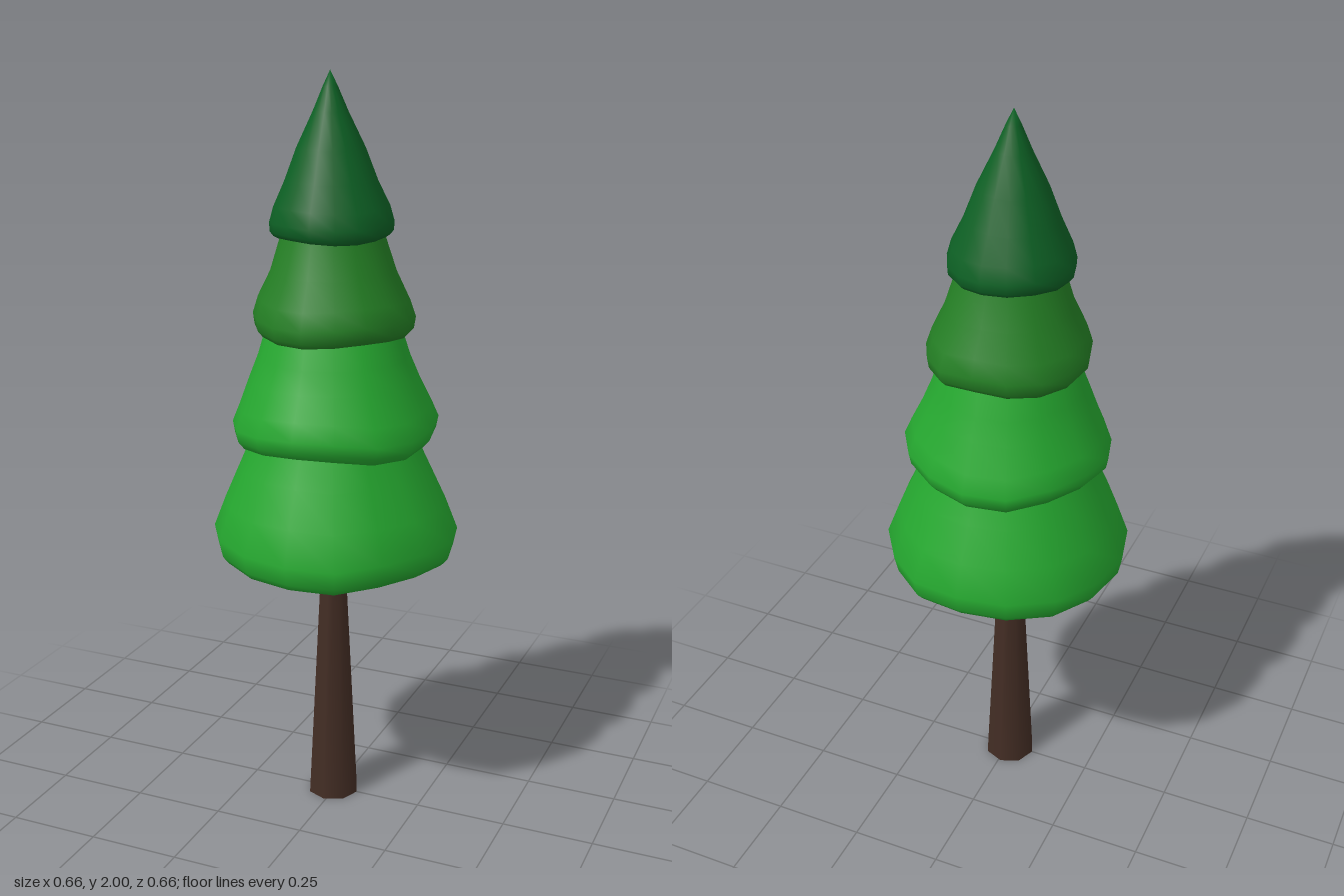
import * as THREE from 'three';
import { mergeVertices } from 'three/addons/utils/BufferGeometryUtils.js';

const SIDES = 16;
const CENTER_X = -0.015;

const material = (name, color) => {
  const m = new THREE.MeshStandardMaterial({ color });
  m.name = name;
  return m;
};

// Foliage tier: a lathe whose round section is reshaped to an uneven outline.
// profile: [fraction of outline, height] from bottom to top
// outline: radius every 22.5 degrees, from +x towards +z
function tier(name, mat, profile, outline, wave) {
  const lathe = new THREE.LatheGeometry(profile.map(([t, y]) => new THREE.Vector2(t, y)), SIDES);
  lathe.deleteAttribute('uv');
  lathe.deleteAttribute('normal');
  const p = lathe.attributes.position;
  const base = profile[0][1];
  for (let i = 0; i < p.count; i++) {
    const t = Math.hypot(p.getX(i), p.getZ(i));
    const angle = Math.atan2(p.getZ(i), p.getX(i));
    const k = (Math.round(angle / (2 * Math.PI) * SIDES) + SIDES) % SIDES;
    const a = k / SIDES * 2 * Math.PI;
    const r = outline[k];
    const y = p.getY(i);
    // The hem waves gently, the upper part stays level
    const lift = t > 0.8 && y < base + 0.1 ? wave * Math.sin(3 * a + base * 9) : 0;
    p.setXYZ(i,
      CENTER_X + (r * Math.cos(a) - CENTER_X) * t,
      y + lift,
      r * Math.sin(a) * t);
  }
  const geometry = mergeVertices(lathe, 1e-5);
  geometry.computeVertexNormals();
  const mesh = new THREE.Mesh(geometry, mat);
  mesh.name = name;
  return mesh;
}

export function createModel() {
  const group = new THREE.Group();
  group.name = 'pineTree';
  const bark = material('bark brown', 0x432d24);
  const light = material('light green', 0x25a72f);
  const medium = material('medium green', 0x247f24);
  const dark = material('dark green', 0x0d6024);

  // Tapered trunk
  const trunk = new THREE.Mesh(new THREE.CylinderGeometry(0.03, 0.072, 0.8, 8), bark);
  trunk.name = 'trunk';
  trunk.position.set(-0.007, 0.4, 0);
  group.add(trunk);

  // Four tiers of foliage, bottom to top
  group.add(
    tier('bottomFoliage', light,
      [[0, 0.735], [0.86, 0.73], [0.92, 0.732], [0.97, 0.752], [1, 0.8], [0.9, 0.885],
        [0.77, 0.98], [0.66, 1.06], [0.5, 1.2], [0, 1.2]],
      [0.332, 0.322, 0.322, 0.343, 0.328, 0.33, 0.33, 0.328,
        0.333, 0.333, 0.34, 0.34, 0.335, 0.341, 0.328, 0.329], 0.004),
    tier('lowerFoliage', light,
      [[0, 1.06], [0.85, 1.053], [0.92, 1.055], [0.98, 1.075], [1, 1.105], [0.93, 1.15],
        [0.82, 1.22], [0.73, 1.28], [0.65, 1.35], [0.5, 1.45], [0, 1.45]],
      [0.27, 0.278, 0.28, 0.27, 0.278, 0.28, 0.277, 0.273,
        0.282, 0.285, 0.29, 0.3, 0.288, 0.278, 0.275, 0.272], 0.009),
    tier('upperFoliage', medium,
      [[0, 1.345], [0.85, 1.338], [0.92, 1.34], [0.98, 1.355], [1, 1.385], [0.93, 1.43],
        [0.77, 1.5], [0.62, 1.6], [0.48, 1.7], [0, 1.7]],
      [0.205, 0.208, 0.21, 0.215, 0.22, 0.22, 0.217, 0.215,
        0.222, 0.225, 0.226, 0.225, 0.218, 0.233, 0.217, 0.208], 0.005),
    tier('topFoliage', dark,
      [[0, 1.595], [0.85, 1.588], [0.93, 1.59], [0.99, 1.602], [1, 1.625], [0.93, 1.665],
        [0.74, 1.73], [0.55, 1.81], [0.28, 1.9], [0.12, 1.96], [0, 2]],
      [0.148, 0.152, 0.155, 0.158, 0.167, 0.168, 0.168, 0.17,
        0.175, 0.18, 0.18, 0.18, 0.17, 0.163, 0.158, 0.15], 0.004),
  );
  return group;
}
